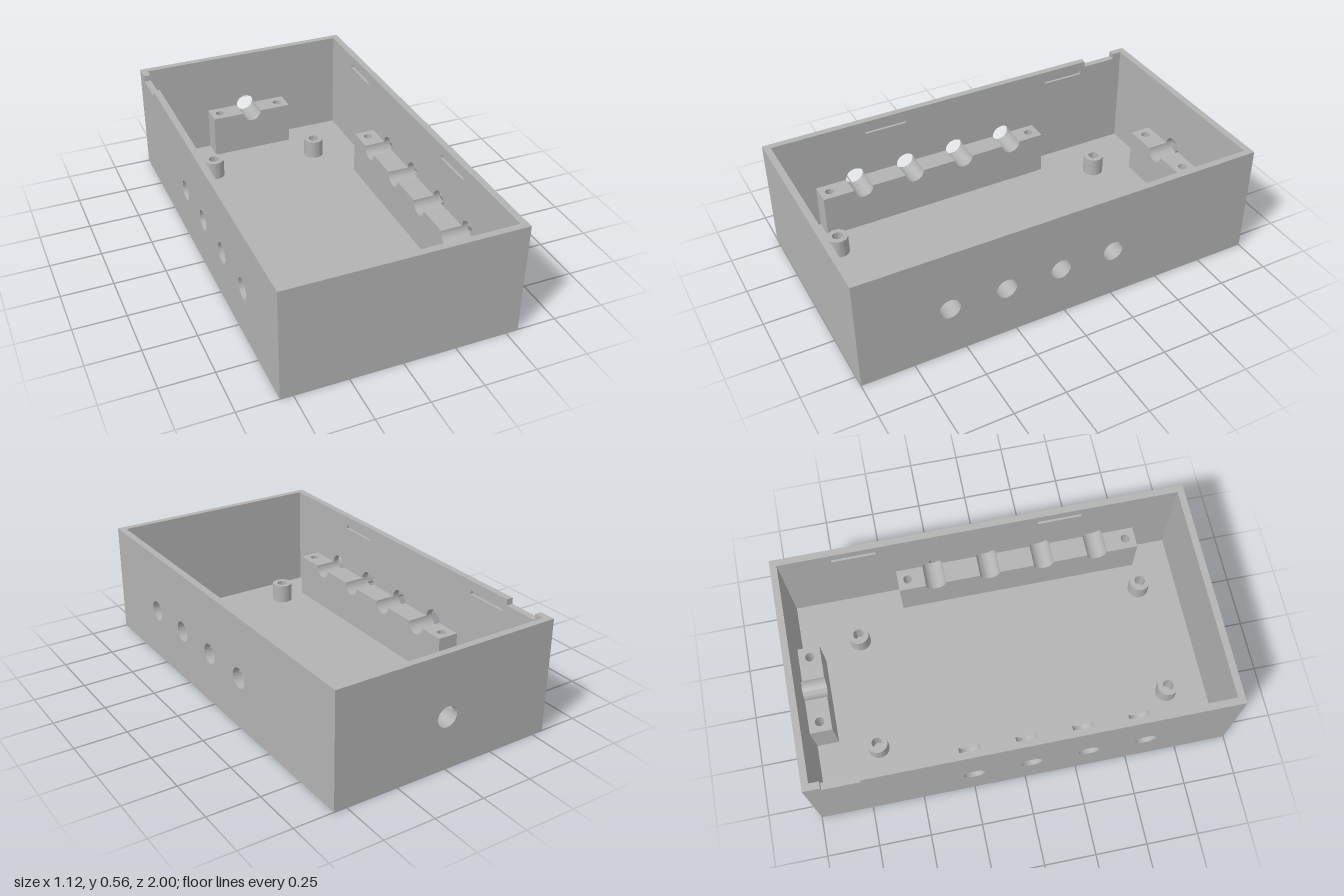
import * as THREE from 'three';
import { toCreasedNormals } from 'three/addons/utils/BufferGeometryUtils.js';

const W = 0.56, L = 1, H = 0.555;      // half width, half length, height
const T = 0.033;                       // wall and floor thickness
const PORT_Y = 0.255, PORT_R = 0.05;   // cable ports
const PORTS_Z = [-0.247, 0.026, 0.299, 0.572];
const CRADLE_D = 0.107;                // depth of the cable cradles
const SLOT_D = 0.013;                  // depth of the lid catch slots

const plastic = new THREE.MeshStandardMaterial({ color: 0xb3b3b3 });
plastic.name = 'greyPlastic';

function polygon(points) {
  return new THREE.Shape(points.map(([x, y]) => new THREE.Vector2(x, y)));
}

function rect(x0, x1, y0, y1) {
  return polygon([[x0, y0], [x1, y0], [x1, y1], [x0, y1]]);
}

function circle(x, y, r) {
  return new THREE.Path().absarc(x, y, r, 0, Math.PI * 2, false);
}

function extrude(shape, depth) {
  const g = new THREE.ExtrudeGeometry(shape, { depth, bevelEnabled: false, curveSegments: 24 });
  return toCreasedNormals(g, 0.6);
}

function mesh(name, geometry) {
  const m = new THREE.Mesh(geometry, plastic);
  m.name = name;
  return m;
}

// Long wall drawn in (z, y): outer skin plus inner skin with catch slots
function sideWall(name, xMax, outerIsMax, notched) {
  const group = new THREE.Group();
  group.name = name;
  const outline = () => {
    const top = notched
      ? [[-0.745, H], [-0.745, H - 0.03], [-0.92, H - 0.03], [-0.92, H]]
      : [];
    const s = polygon([[-L, T], [L, T], [L, H], ...top, [-L, H]]);
    PORTS_Z.forEach((z) => s.holes.push(circle(z, PORT_Y, PORT_R)));
    return s;
  };
  const inner = outline();
  inner.holes.push(rect(-0.72, -0.505, 0.488, 0.51), rect(0.285, 0.5, 0.488, 0.51));

  const outerSkin = mesh(name + 'Outer', extrude(outline(), T - SLOT_D));
  const innerSkin = mesh(name + 'Inner', extrude(inner, SLOT_D));
  for (const m of [outerSkin, innerSkin]) m.rotation.y = -Math.PI / 2;
  outerSkin.position.x = outerIsMax ? xMax : xMax - SLOT_D;
  innerSkin.position.x = outerIsMax ? xMax - (T - SLOT_D) : xMax;
  group.add(outerSkin, innerSkin);
  return group;
}

// Cable cradle along local x: grooved middle between two ends with screw holes
function cradle(name, u0, u1, grooves) {
  const group = new THREE.Group();
  group.name = name;
  const END = 0.1;
  const a = u0 + END, b = u1 - END;

  const profile = new THREE.Shape();
  profile.moveTo(a, T);
  profile.lineTo(b, T);
  profile.lineTo(b, PORT_Y);
  [...grooves].reverse().forEach((g) => {
    profile.lineTo(g + PORT_R, PORT_Y);
    profile.absarc(g, PORT_Y, PORT_R, 0, Math.PI, true);
  });
  profile.lineTo(a, PORT_Y);
  group.add(mesh('cradleGrooves', extrude(profile, CRADLE_D)));

  for (const [start, screw] of [[u0, u0 + 0.05], [b, u1 - 0.05]]) {
    const s = rect(start, start + END, -CRADLE_D, 0);
    s.holes.push(circle(screw, -CRADLE_D / 2, 0.022));
    const end = mesh('cradleEnd', extrude(s, PORT_Y - T));
    end.rotation.x = -Math.PI / 2;
    end.position.y = T;
    group.add(end);
  }
  return group;
}

export function createModel() {
  const model = new THREE.Group();
  model.name = 'enclosure';

  // Floor
  const floor = mesh('floor', new THREE.BoxGeometry(W * 2, T, L * 2));
  floor.position.y = T / 2;
  model.add(floor);

  // Long walls; the right one has a notch in its rim near the back
  model.add(sideWall('leftWall', W, true, false));
  model.add(sideWall('rightWall', -W + T, false, true));

  // Front wall, and back wall with one port
  const end = () => rect(-W + T, W - T, T, H);
  const front = mesh('frontWall', extrude(end(), T));
  front.position.z = L - T;
  const backShape = end();
  backShape.holes.push(circle(0, PORT_Y, PORT_R));
  const back = mesh('backWall', extrude(backShape, T));
  back.position.z = -L;
  model.add(front, back);

  // Cable cradles against the side and back walls
  for (const [name, x] of [['leftCradle', W - T], ['rightCradle', -W + T + CRADLE_D]]) {
    const c = cradle(name, -0.43, 0.779, PORTS_Z);
    c.rotation.y = -Math.PI / 2;
    c.position.x = x;
    model.add(c);
  }
  const backCradle = cradle('backCradle', -0.215, 0.215, [0]);
  backCradle.position.z = -L + T;
  model.add(backCradle);

  // Board standoffs
  const ring = new THREE.Shape().absarc(0, 0, 0.051, 0, Math.PI * 2, false);
  ring.holes.push(circle(0, 0, 0.026));
  const standoffGeometry = extrude(ring, 0.095);
  for (const x of [-0.285, 0.285]) {
    for (const z of [-0.673, 0.773]) {
      const s = mesh('standoff', standoffGeometry);
      s.rotation.x = -Math.PI / 2;
      s.position.set(x, T, z);
      model.add(s);
    }
  }

  return model;
}
